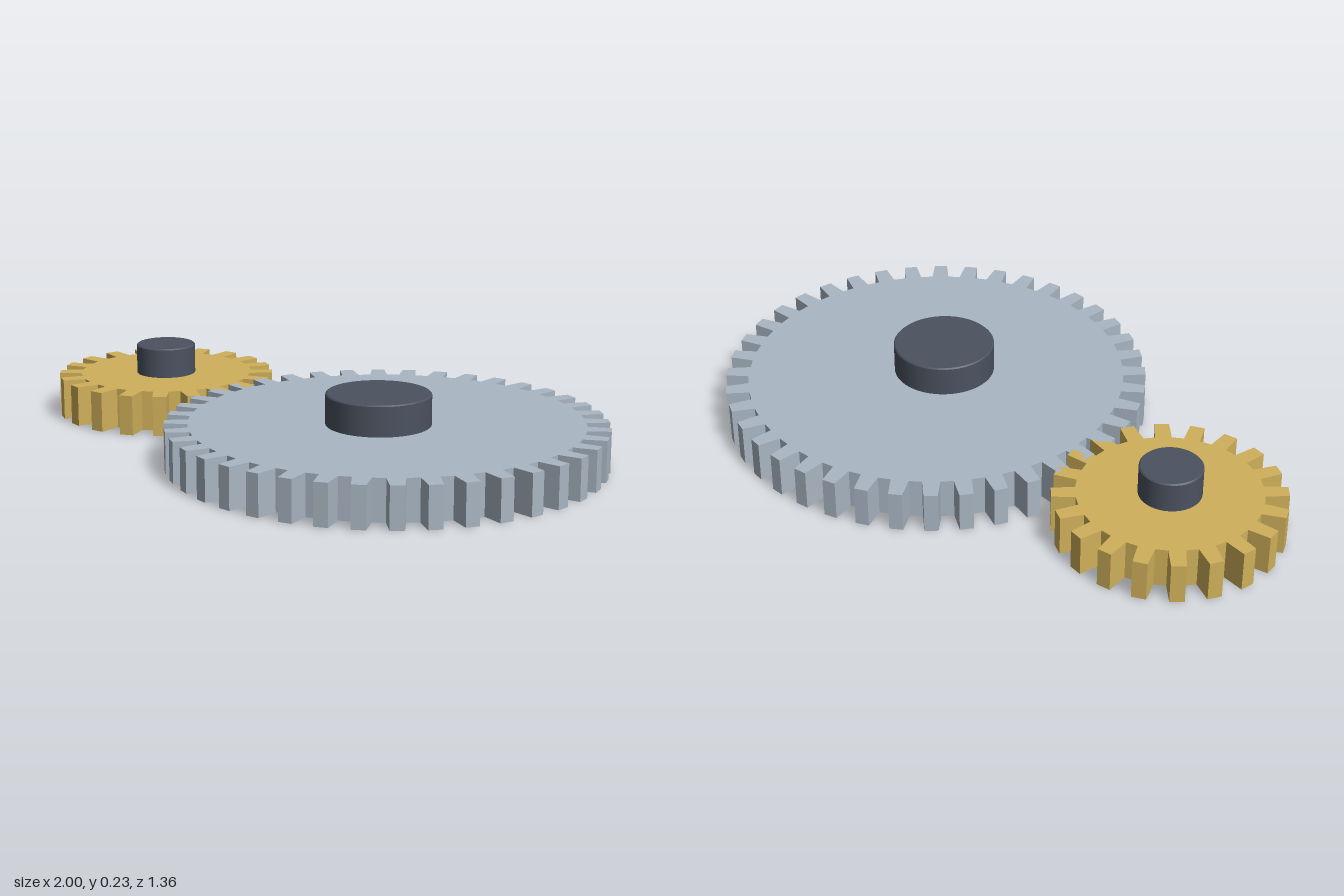
import * as THREE from 'three';

const M = 0.03228; // gear module: every size follows from it
const THICK = 4 * M;

const steel = new THREE.MeshStandardMaterial({ name: 'steel', color: 0xa9b6c3 });
const brass = new THREE.MeshStandardMaterial({ name: 'brass', color: 0xcfb05a });
const darkSteel = new THREE.MeshStandardMaterial({ name: 'darkSteel', color: 0x4b5260 });

// Spur gear lying flat, with tapered teeth and a round bore
function gear(name, teeth, boreRadius, phase, material) {
  const tip = M * (teeth / 2 + 1);
  const root = M * (teeth / 2 - 1.25);
  const pitch = (Math.PI * 2) / teeth;
  const points = [];
  for (let i = 0; i < teeth; i++) {
    const a = (i + phase) * pitch;
    for (const [r, f] of [[root, -0.29], [tip, -0.2], [tip, 0.2], [root, 0.29]]) {
      points.push(new THREE.Vector2(r * Math.cos(a + f * pitch), r * Math.sin(a + f * pitch)));
    }
  }
  const shape = new THREE.Shape(points);
  const bore = new THREE.Path();
  bore.absarc(0, 0, boreRadius, 0, Math.PI * 2, true);
  shape.holes.push(bore);
  const geo = new THREE.ExtrudeGeometry(shape, { depth: THICK, bevelEnabled: false, curveSegments: 48 });
  geo.rotateX(-Math.PI / 2);
  const mesh = new THREE.Mesh(geo, material);
  mesh.name = name;
  return mesh;
}

// Solid hub with a fine chamfer round its top edge
function hub(name, radius) {
  const h = 3 * M, c = 0.004;
  const group = new THREE.Group();
  group.name = name;
  const wall = new THREE.Mesh(new THREE.CylinderGeometry(radius, radius, h - c, 64), darkSteel);
  wall.name = name + 'Wall';
  wall.position.y = THICK + (h - c) / 2;
  const cap = new THREE.Mesh(new THREE.CylinderGeometry(radius - c, radius, c, 64), darkSteel);
  cap.name = name + 'Chamfer';
  cap.position.y = THICK + h - c / 2;
  group.add(wall, cap);
  return group;
}

export function createModel() {
  const model = new THREE.Group();
  model.name = 'gearPair';
  const bigX = 0.322, smallX = bigX - 30 * M, axisZ = 0.037;

  const bigGear = gear('bigGear', 40, 2.4 * M, 0, steel);
  bigGear.position.x = bigX;
  const smallGear = gear('smallGear', 20, 1.4 * M, 0.5, brass);
  smallGear.position.set(smallX, 0, axisZ);

  const bigHub = hub('bigHub', 5 * M);
  bigHub.position.set(bigX, 0, axisZ);
  const smallHub = hub('smallHub', 3 * M);
  smallHub.position.set(smallX, 0, axisZ);

  model.add(bigGear, smallGear, bigHub, smallHub);
  return model;
}
